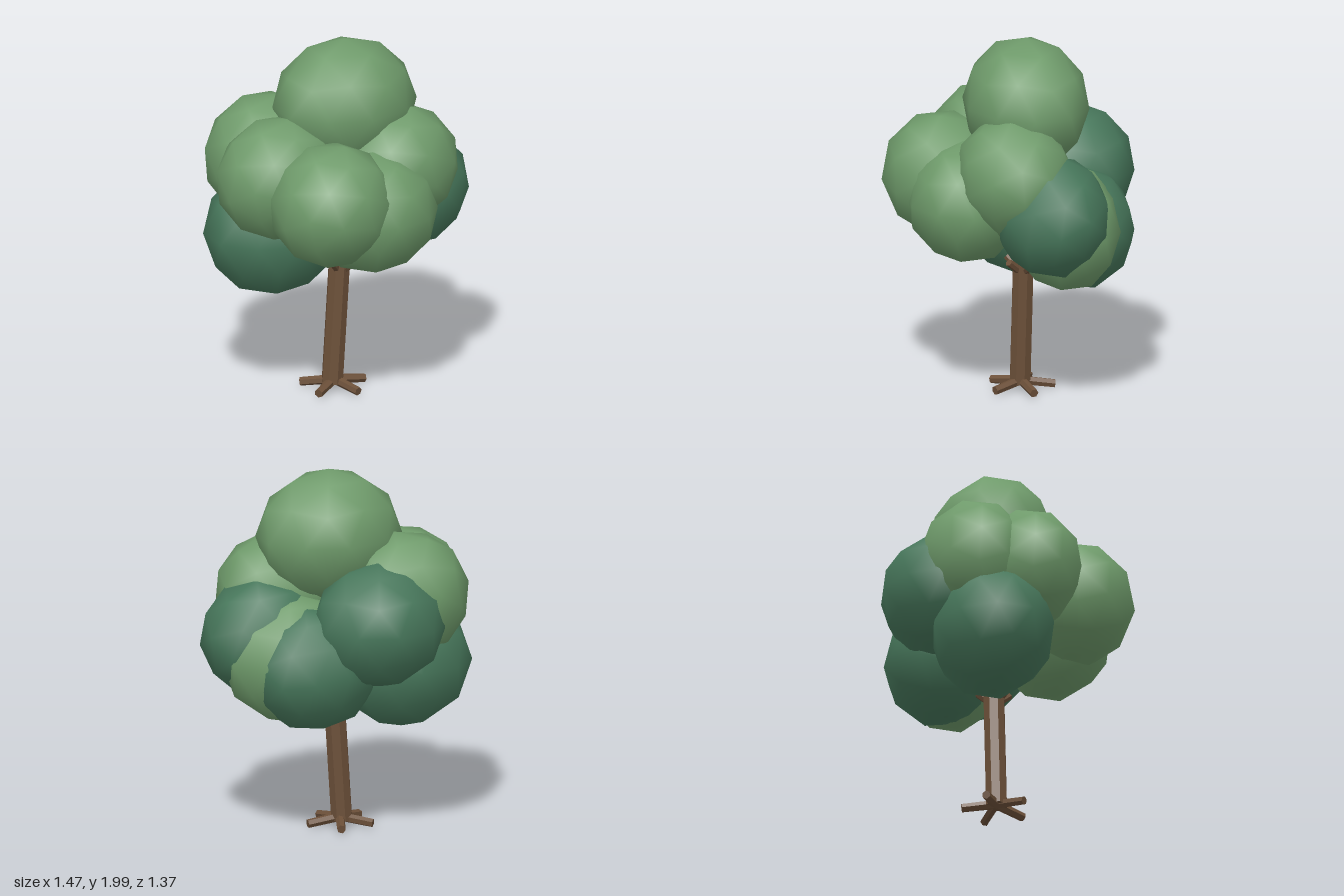
import * as THREE from 'three';

const lightLeaf = new THREE.MeshStandardMaterial({ name: 'light leaf green', color: 0x6f9b6b });
const darkLeaf = new THREE.MeshStandardMaterial({ name: 'dark leaf green', color: 0x47775b });
const bark = new THREE.MeshStandardMaterial({ name: 'bark brown', color: 0x6c5039, flatShading: true });

// Faceted ball with one corner pointing up, smooth shaded
function ball() {
  return new THREE.IcosahedronGeometry(1, 1)
    .rotateX(-Math.atan2((1 + Math.sqrt(5)) / 2, 1))
    .rotateY(Math.PI / 2);
}

// One clump of leaves: tilt the ball, then stretch and place it
function clump(name, material, position, size, tilt = 0) {
  const geometry = ball().rotateX(tilt).scale(...size).translate(...position);
  const mesh = new THREE.Mesh(geometry, material);
  mesh.name = name;
  return mesh;
}

// Straight tapered stick between two points
function stick(name, from, to, r0, r1, sides) {
  const a = new THREE.Vector3(...from), b = new THREE.Vector3(...to);
  const dir = b.clone().sub(a);
  const mesh = new THREE.Mesh(new THREE.CylinderGeometry(r1, r0, dir.length(), sides), bark);
  mesh.position.copy(a).add(b).multiplyScalar(0.5);
  mesh.quaternion.setFromUnitVectors(new THREE.Vector3(0, 1, 0), dir.normalize());
  mesh.name = name;
  return mesh;
}

export function createModel() {
  const tree = new THREE.Group();
  tree.name = 'tree';

  // Leaning trunk
  const z = -0.013;
  tree.add(stick('trunk', [-0.045, 0.04, z], [0.003, 0.8, z], 0.06, 0.06, 8));

  // Five roots, five short branches and five steep branches
  for (let i = 0; i < 5; i++) {
    const a = (i * 2 * Math.PI) / 5, c = Math.cos(a), s = Math.sin(a);
    tree.add(stick('root', [-0.035, 0.055, z], [-0.035 + 0.185 * c, 0.03, z + 0.185 * s], 0.026, 0.024, 6));
    tree.add(stick('shortBranch', [0, 0.66, z], [0.01 + 0.11 * c, 0.75, z + 0.11 * s], 0.022, 0.02, 6));
    const c2 = Math.cos(a + 0.6), s2 = Math.sin(a + 0.6);
    tree.add(stick('steepBranch', [0.005, 0.66, z], [0.015 + 0.12 * c2, 0.92, z + 0.12 * s2], 0.022, 0.02, 6));
  }

  // Leaf clumps
  const crown = new THREE.Group();
  crown.name = 'crown';
  crown.add(
    clump('topClump', lightLeaf, [0.03, 1.635, -0.015], [0.405, 0.365, 0.335]),
    clump('frontClump', lightLeaf, [-0.24, 1.21, 0.36], [0.35, 0.345, 0.33], 0.65),
    clump('lowFrontClump', lightLeaf, [0.02, 1.12, 0.33], [0.365, 0.34, 0.32]),
    clump('frontLeftClump', lightLeaf, [0.25, 1.3, 0.15], [0.36, 0.34, 0.32], 0.65),
    clump('rightClump', lightLeaf, [-0.39, 1.29, 0.04], [0.365, 0.345, 0.3], 0.65),
    clump('backRightClump', lightLeaf, [-0.33, 1.32, -0.24], [0.35, 0.355, 0.31], 0.65),
    clump('lowLeftClump', lightLeaf, [0.29, 1.0, -0.13], [0.385, 0.36, 0.29]),
    clump('leftClump', darkLeaf, [0.4, 1.1, -0.01], [0.355, 0.34, 0.315], 0.4),
    clump('backClump', darkLeaf, [-0.13, 1.2, -0.36], [0.37, 0.345, 0.33]),
    clump('lowBackClump', darkLeaf, [0.2, 0.96, -0.24], [0.36, 0.345, 0.31], 0.5),
    clump('lowRightClump', darkLeaf, [-0.34, 0.93, -0.14], [0.39, 0.365, 0.335]),
  );
  tree.add(crown);
  return tree;
}
